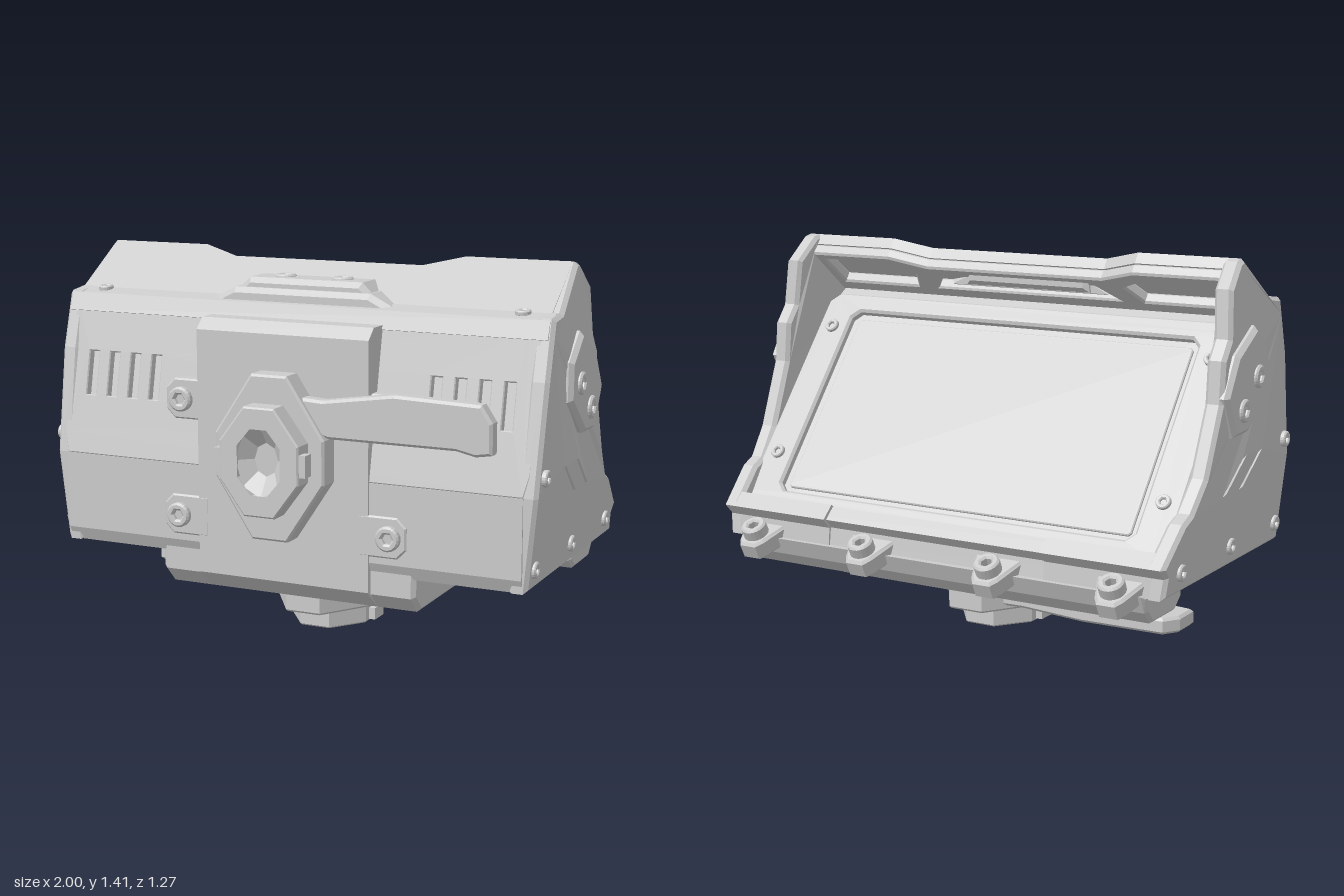
import * as THREE from 'three';

const mat = new THREE.MeshStandardMaterial({ color: 0xcccccc, flatShading: true, side: THREE.DoubleSide });

const poly = (pts, C = THREE.Shape) => new C(pts.map(p => new THREE.Vector2(p[0], p[1])));
const mirrorPts = pts => [...pts, ...pts.map(([x, y]) => [-x, y]).reverse()];

function add(parent, name, geo) {
  const m = new THREE.Mesh(geo, mat);
  m.name = name;
  parent.add(m);
  return m;
}

// Solid from an XY outline between z0 and z1, with edges chamfered inside the outline
function slab(pts, z0, z1, bevel = 0, holes = []) {
  const s = poly(pts);
  holes.forEach(h => s.holes.push(poly(h, THREE.Path)));
  const g = new THREE.ExtrudeGeometry(s, {
    depth: z1 - z0 - 2 * bevel, bevelEnabled: bevel > 0, bevelSize: bevel,
    bevelThickness: bevel, bevelOffset: -bevel, bevelSegments: 1,
  });
  return g.translate(0, 0, z0 + bevel);
}

// Solid from a [z, y] side profile between x0 and x1
function slabX(pts, x0, x1, bevel = 0, holes = []) {
  const flip = a => a.map(([z, y]) => [-z, y]);
  return slab(flip(pts), x0, x1, bevel, holes.map(flip)).rotateY(Math.PI / 2);
}

// Half-width of the shell at a given height
function halfWidth(y) {
  const k = [[0.3, 0.925], [0.75, 0.97], [1.25, 0.967], [1.42, 0.945]];
  for (let i = 1; i < k.length; i++) {
    if (y <= k[i][0] || i === k.length - 1) {
      return THREE.MathUtils.mapLinear(y, k[i - 1][0], k[i][0], k[i - 1][1], k[i][1]);
    }
  }
}

// Round screw with a hexagonal socket, pointing along dir
function screw(parent, pos, dir, r, h) {
  const ring = (n, q) => Array.from({ length: n }, (_, i) =>
    [q * Math.cos(i / n * 2 * Math.PI), q * Math.sin(i / n * 2 * Math.PI)]);
  const g = new THREE.Group();
  g.name = 'screw';
  add(g, 'screwHead', slab(ring(20, r), 0, h, r * 0.15, [ring(6, r * 0.45)]));
  add(g, 'socketFloor', new THREE.CircleGeometry(r * 0.65, 6).translate(0, 0, h * 0.4));
  g.position.set(...pos);
  g.quaternion.setFromUnitVectors(new THREE.Vector3(0, 0, 1), new THREE.Vector3(...dir).normalize());
  parent.add(g);
}

// Quick-release mount: diamond boss, socketed cap with ears, and lever
function latch() {
  const g = new THREE.Group();
  const diamond = (a, b, c, d) => mirrorPts([[a, b], [c, d], [c, -d], [a, -b]]);
  add(g, 'mountBoss', slab(diamond(0.07, 0.3, 0.215, 0.08), -0.02, 0.1, 0.008));
  add(g, 'mountCap', slab(diamond(0.06, 0.197, 0.155, 0.07), 0.09, 0.18, 0.006,
    [diamond(0.035, 0.125, 0.09, 0.06)]));
  add(g, 'capSocket', new THREE.CylinderGeometry(0.13, 0.06, 0.05, 8, 1, true)
    .rotateX(Math.PI / 2).scale(0.75, 1, 1).translate(0, 0, 0.14));
  add(g, 'socketFloor', new THREE.CircleGeometry(0.1, 8).scale(0.75, 1, 1).translate(0, 0, 0.116));
  add(g, 'capEars', new THREE.BoxGeometry(0.36, 0.08, 0.045).translate(0, 0, 0.128)).visible = true;
  g.children.pop();
  for (const s of [-1, 1]) {
    add(g, 'capEar', new THREE.BoxGeometry(0.05, 0.08, 0.045).translate(s * 0.155, 0, 0.15));
  }
  add(g, 'lever', slab([[0.05, 0.2], [0.11, 0.225], [0.2, 0.22], [0.47, 0.26], [0.79, 0.25], [0.83, 0.19],
    [0.83, 0.08], [0.77, 0.07], [0.7, 0.085], [0.22, 0.085], [0.08, 0.13]], 0.02, 0.08, 0.01));
  return g;
}

export function createModel() {
  const root = new THREE.Group();
  root.name = 'displayHousing';

  // Inner core, with its rear slope behind the screen
  add(root, 'core', slabX([[0.43, 0.31], [0.43, 0.65], [0.30, 1.2], [0.25, 1.2], [0.18, 1.155],
    [-0.44, 0.405], [-0.5, 0.39], [-0.5, 0.31]], -0.895, 0.895));

  // Side walls with slanted vents, tapered to follow the shell
  const wall = [[0.455, 0.31], [0.462, 0.65], [0.393, 1.04], [0.35, 1.19], [0.333, 1.25], [0.25, 1.26],
    [0.04, 1.415], [0.005, 1.407], [-0.09, 1.32], [-0.107, 1.148], [-0.16, 1.08], [-0.174, 0.93],
    [-0.276, 0.687], [-0.36, 0.58], [-0.415, 0.555], [-0.55, 0.424], [-0.515, 0.385], [-0.525, 0.31]];
  const vents = [0, -0.14].map(o => [[0.21 + o, 0.72], [0.155 + o, 0.72], [0.0 + o, 0.585], [0.058 + o, 0.585]]);
  const pod = [[0.077, 1.178], [-0.085, 1.09], [-0.172, 0.95], [-0.092, 0.8], [0.03, 0.804],
    [0.194, 0.94], [0.19, 1.08]];
  for (const s of [-1, 1]) {
    const g = slabX(wall, s > 0 ? 0.9 : -0.97, s > 0 ? 0.97 : -0.9, 0.014, vents);
    const p = g.attributes.position;
    for (let i = 0; i < p.count; i++) p.setX(i, p.getX(i) + s * (halfWidth(p.getY(i)) - 0.97));
    add(root, 'sideWall', g);

    add(root, 'sidePod', slabX(pod, s > 0 ? 0.93 : -0.988, s > 0 ? 0.988 : -0.93, 0.016));
    for (const [z, y] of [[0.092, 0.995], [-0.03, 0.89]]) screw(root, [s * 0.98, y, z], [s, 0, 0], 0.042, 0.02);
    for (const [z, y] of [[0.4, 0.713], [0.4, 0.387], [0, 0.387], [-0.41, 0.387]]) {
      screw(root, [s * (halfWidth(y) - 0.008), y, z], [s, 0, 0], 0.03, 0.022);
    }
    screw(root, [s * 0.835, 1.25, 0.285], [0, 1, 0.1], 0.028, 0.02);
  }

  // Top shell strip and lower front panel
  add(root, 'topShell', slabX([[0.36, 1.18], [0.337, 1.245], [0.27, 1.26], [0.19, 1.22], [0.28, 1.15]], -0.95, 0.95));
  add(root, 'lowerFrontPanel', slabX([[0.42, 0.31], [0.442, 0.31], [0.466, 0.36], [0.466, 0.65], [0.42, 0.65]], -0.91, 0.91));

  // Sloped upper front panel with slots
  const slots = [];
  for (const s of [-1, 1]) {
    for (let i = 0; i < 4; i++) {
      const x = s * (0.56 + i * 0.09), w = 0.02;
      slots.push([[x - w, 0.225], [x + w, 0.225], [x + w, 0.39], [x - w, 0.39]]);
    }
  }
  const front = add(root, 'upperFrontPanel', slab(mirrorPts([[0.91, 0], [0.93, 0.08], [0.93, 0.52],
    [0.917, 0.562], [0.88, 0.58]]), -0.035, 0, 0.004, slots));
  front.position.set(0, 0.65, 0.466);
  front.rotation.x = -0.2076;

  // Hood: outer sheet plus a frame with three recesses underneath
  const hood = new THREE.Group();
  hood.name = 'hood';
  hood.position.set(0, 1.25, 0.27);
  hood.rotation.x = -0.949;
  const hoodEdge = mirrorPts([[0.93, 0], [0.93, 0.25], [0.91, 0.283], [0.53, 0.283], [0.38, 0.225]]);
  const sidePanel = s => [[0.5, 0.07], [0.85, 0.07], [0.85, 0.24], [0.58, 0.24], [0.46, 0.17]].map(([x, y]) => [s * x, y]);
  add(hood, 'hoodSheet', slab(hoodEdge, -0.045, 0));
  add(hood, 'hoodFrame', slab(hoodEdge, -0.09, -0.045, 0.008,
    [sidePanel(1), sidePanel(-1), mirrorPts([[0.4, 0.07], [0.32, 0.185]])]));
  root.add(hood);

  // Screen, bezel and bezel screws, laid on the rear slope
  const display = new THREE.Group();
  display.name = 'display';
  display.position.set(0, 0.43, -0.47);
  display.rotation.set(Math.atan2(0.62, 0.75), 0, 0);
  const rect = (x, a, b, c) => mirrorPts([[x - c, a], [x, a + c], [x, b - c], [x - c, b]]);
  add(display, 'bezel', slab(rect(0.9, 0, 0.96, 0.04), -0.035, 0.005, 0.01, [rect(0.76, 0.065, 0.88, 0.03)]).rotateY(Math.PI));
  add(display, 'screen', slab(rect(0.735, 0.09, 0.855, 0.01), -0.04, -0.018, 0.004).rotateY(Math.PI));
  add(display, 'screenBacking', new THREE.BoxGeometry(1.6, 0.9, 0.01).translate(0, 0.47, 0.033));
  for (const s of [-1, 1]) for (const d of [0.22, 0.8]) screw(display, [s * 0.83, d, 0], [0, 0, -1], 0.028, 0.02);
  root.add(display);

  // Rear lower rim, thicker at both ends
  add(root, 'rearRim', slabX([[-0.46, 0.31], [-0.455, 0.44], [-0.49, 0.462], [-0.535, 0.42], [-0.505, 0.385],
    [-0.515, 0.31]], -0.9, 0.9));
  for (const s of [-1, 1]) {
    add(root, 'rimEnd', slabX([[-0.47, 0.32], [-0.475, 0.455], [-0.5, 0.47], [-0.55, 0.424], [-0.515, 0.385],
      [-0.52, 0.32]], s * 0.68 - 0.22, s * 0.68 + 0.22));
  }

  // Rear bar carrying four lugs with screws
  add(root, 'rearBar', slabX([[-0.24, 0.32], [-0.24, 0.25], [-0.29, 0.21], [-0.47, 0.21], [-0.51, 0.255],
    [-0.54, 0.32]], -0.86, 0.86, 0.012));
  for (const x of [-0.76, -0.27, 0.27, 0.76]) {
    const lug = add(root, 'lug', slab(mirrorPts([[0.1, -0.06], [0.055, 0.06], [0.035, 0.09]]), -0.05, 0.025, 0.01));
    lug.position.set(x, 0.325, -0.54);
    lug.rotation.x = -Math.PI / 2 - 0.46;
    screw(root, [x, 0.325, -0.565], [0, 0.89, -0.45], 0.048, 0.06);
  }

  // Base block and central front plate
  add(root, 'baseBlock', slabX([[0.39, 0.178], [0.45, 0.24], [0.45, 0.33], [-0.41, 0.33], [-0.405, 0.21], [-0.38, 0.178]],
    -0.51, 0.51, 0.015));
  add(root, 'frontPlate', slabX([[0.39, 0.178], [0.474, 0.25], [0.474, 1.155], [0.43, 1.195], [0.3, 1.195], [0.3, 0.178]],
    -0.34, 0.34));
  for (const s of [-1, 1]) {
    for (const y of [0.46, 0.89]) {
      const z = y > 0.65 ? 0.43 : 0.455;
      add(root, 'plateTab', slab([[s * 0.3, y - 0.075], [s * 0.45, y - 0.075], [s * 0.485, y - 0.04],
        [s * 0.485, y + 0.04], [s * 0.45, y + 0.075], [s * 0.3, y + 0.075]], z - 0.04, z + 0.02, 0.006));
      screw(root, [s * 0.42, y, z + 0.012], [0, 0, 1], 0.046, 0.032);
    }
  }

  // Raised pad on the top shell
  add(root, 'topPadBase', slab(mirrorPts([[0.36, 1.22], [0.35, 1.255], [0.27, 1.295]]), 0.17, 0.32, 0.02));
  add(root, 'topPad', slab(mirrorPts([[0.27, 1.24], [0.26, 1.295], [0.225, 1.33]]), 0.14, 0.29, 0.02));
  for (const x of [-0.115, 0.115]) screw(root, [x, 1.322, 0.2], [0, 1, 0], 0.04, 0.016);

  // Front and bottom mounts
  const frontLatch = latch();
  frontLatch.name = 'frontMount';
  frontLatch.position.set(-0.008, 0.723, 0.46);
  const bottomLatch = latch();
  bottomLatch.name = 'bottomMount';
  bottomLatch.position.set(-0.005, 0.18, -0.005);
  bottomLatch.quaternion.setFromRotationMatrix(new THREE.Matrix4().makeBasis(
    new THREE.Vector3(-1, 0, 0), new THREE.Vector3(0, 0, -1), new THREE.Vector3(0, -1, 0)));
  root.add(frontLatch, bottomLatch);

  return root;
}
